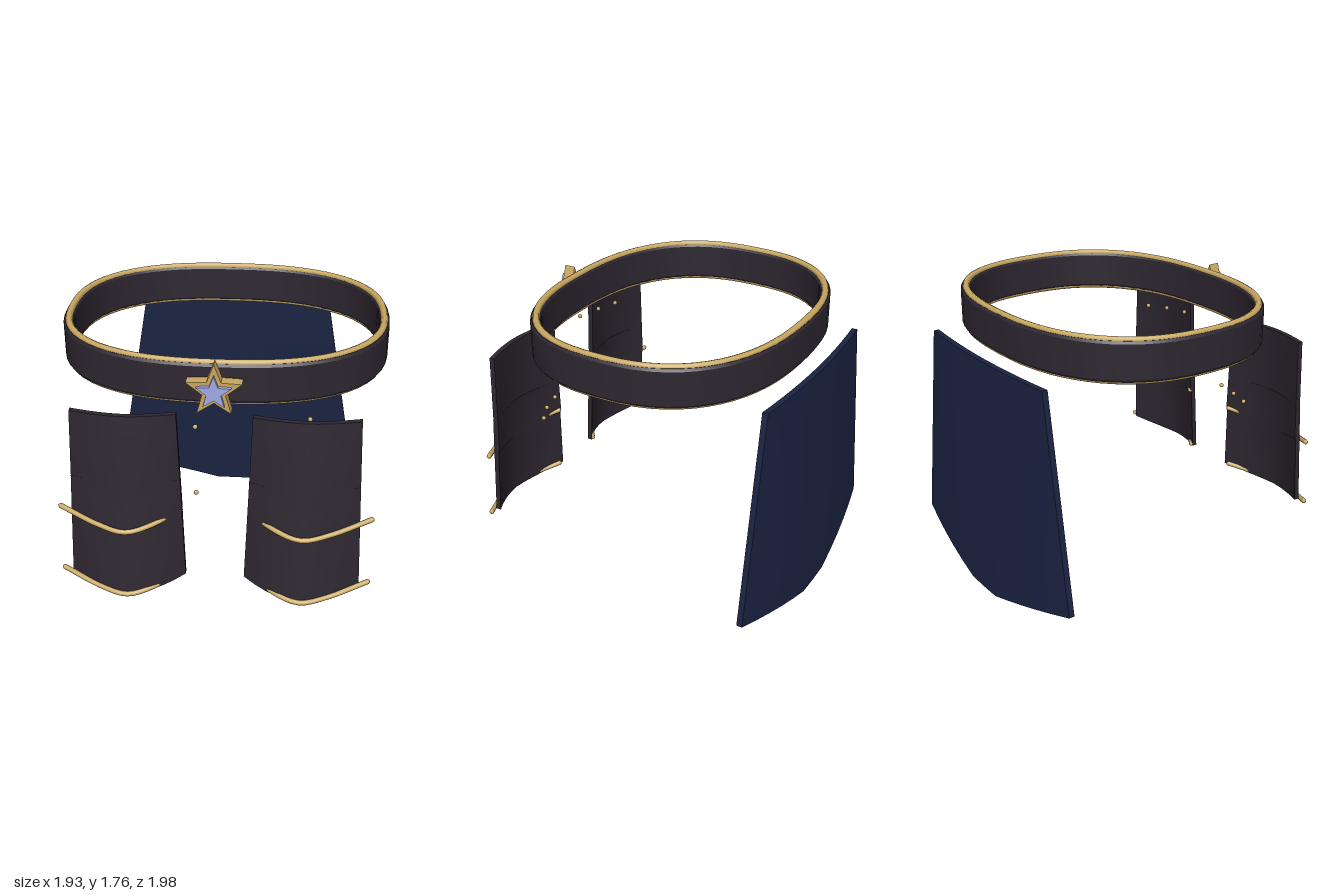
import * as THREE from 'three';
import { toCreasedNormals } from 'three/addons/utils/BufferGeometryUtils.js';

const mat = (color) => new THREE.MeshStandardMaterial({ color });
const leather = mat(0x2e2731);
const cloth = mat(0x1a2342);
const gold = mat(0xc9a860);
const gem = mat(0xa0a9e6);

function add(parent, name, geometry, material, x = 0, y = 0, z = 0) {
  const mesh = new THREE.Mesh(geometry, material);
  mesh.name = name;
  mesh.position.set(x, y, z);
  parent.add(mesh);
  return mesh;
}

// Rounded oval used for the belt and its trim
function oval(a, b, n = 56) {
  const pow = (v) => Math.sign(v) * Math.abs(v) ** 0.82;
  return Array.from({ length: n }, (_, i) => {
    const t = (i / n) * Math.PI * 2;
    return new THREE.Vector2(a * pow(Math.cos(t)), b * pow(Math.sin(t)));
  });
}

function starShape(r) {
  return new THREE.Shape(Array.from({ length: 10 }, (_, i) => {
    const t = Math.PI / 2 + (i * Math.PI) / 5;
    const d = i % 2 ? r * 0.42 : r;
    return new THREE.Vector2(d * Math.cos(t), d * Math.sin(t));
  }));
}

// Bends a box into a curved panel: rule(u, v) gives [x, y, back z];
// u runs -1..1 across, v runs 0..1 from top to bottom
function panel(nx, ny, thickness, rule) {
  const geometry = new THREE.BoxGeometry(2, 1, 1, nx, ny, 1);
  const p = geometry.attributes.position;
  for (let i = 0; i < p.count; i++) {
    const [x, y, z] = rule(p.getX(i), 0.5 - p.getY(i));
    p.setXYZ(i, x, y, z + (p.getZ(i) + 0.5) * thickness);
  }
  geometry.computeVertexNormals();
  return geometry;
}

const lerp = THREE.MathUtils.lerp;

export function createModel() {
  const model = new THREE.Group();
  model.name = 'armouredBelt';
  const beltZ = -0.057;

  // Belt band with gold rims
  const belt = new THREE.Group();
  belt.name = 'belt';
  model.add(belt);
  const ring = new THREE.Shape(oval(0.955, 0.778));
  ring.holes.push(new THREE.Path(oval(0.915, 0.738)));
  const band = new THREE.ExtrudeGeometry(ring, {
    depth: 0.2, bevelEnabled: true, bevelSize: 0.01, bevelThickness: 0.015, bevelSegments: 1,
  });
  band.rotateX(-Math.PI / 2);
  add(belt, 'beltBand', toCreasedNormals(band, 0.5), leather, 0, 1.52, beltZ);
  const rimPath = new THREE.CatmullRomCurve3(
    oval(0.933, 0.756).map((p) => new THREE.Vector3(p.x, 0, p.y)), true);
  const rim = new THREE.TubeGeometry(rimPath, 72, 0.021, 8, true);
  add(belt, 'topRim', rim, gold, 0, 1.733, beltZ);
  add(belt, 'bottomRim', rim, gold, 0, 1.508, beltZ);

  // Star buckle with raised gem
  const buckle = new THREE.Group();
  buckle.name = 'buckle';
  model.add(buckle);
  const star = (r, depth) => new THREE.ExtrudeGeometry(starShape(r), { depth, bevelEnabled: false });
  add(buckle, 'buckleStar', star(0.16, 0.07), gold, 0, 1.61, 0.737);
  add(buckle, 'buckleGem', star(0.1, 0.07), gem, 0, 1.61, 0.76);

  // Rear cloth panel, flaring and bowing out toward the hem
  add(model, 'backCloth', panel(12, 8, 0.035, (u, v) => {
    const hem = 0.01 + 0.19 * Math.max(0, (Math.abs(u) - 1 / 6) / (5 / 6));
    const y = lerp(1.48, hem, v);
    const half = lerp(0.62, 0.84, Math.min(1, (1.48 - y) / 1.28));
    return [u * half, y, -0.92 - lerp(0.035, 0.08, v) * (1 - u * u)];
  }), cloth);

  // Front hip guards: two overlapping curved plates each
  const guardPlate = (side, top, bottom, edgeZ, inset) => panel(10, 6, 0.033, (u, v) => {
    const sag = 0.06 * (1 - u * u) * v;
    const y = lerp(top, bottom, v) - sag;
    const t = (1.46 - y) / 1.06;
    const bulge = lerp(0.05, 0.14, t) - inset;
    return [side * 0.505 + u * lerp(0.295, 0.335, t), y,
      lerp(edgeZ[0], edgeZ[1], v) + bulge * (1 - Math.abs(u) ** 1.7)];
  });
  for (const side of [1, -1]) {
    const guard = new THREE.Group();
    guard.name = side > 0 ? 'leftHipGuard' : 'rightHipGuard';
    model.add(guard);
    add(guard, 'upperPlate', guardPlate(side, 1.46, 0.84, [0.763, 0.768], 0), leather);
    add(guard, 'lowerPlate', guardPlate(side, 1.05, 0.42, [0.768, 0.79], 0.005), leather);

    // Gold edging along each plate's lower edge
    for (const [name, y, z] of [['upperTrim', 0.775, 0.945], ['lowerTrim', 0.362, 0.97]]) {
      const path = new THREE.CatmullRomCurve3([
        [0.89, 0.063, -0.15], [0.66, 0.017, -0.045], [0.5, 0, 0], [0.37, 0.017, -0.045], [0.2, 0.06, -0.17],
      ].map(([px, py, pz]) => new THREE.Vector3(side * px, y + py, z + pz)));
      add(guard, name, new THREE.TubeGeometry(path, 20, 0.015, 8), gold);
      for (const t of [0, 1]) {
        const end = path.getPoint(t);
        add(guard, name + 'Cap', new THREE.SphereGeometry(0.015, 8, 6), gold, end.x, end.y, end.z);
      }
    }
  }

  // Rows of small studs behind the guards
  const studGeometry = new THREE.SphereGeometry(0.014, 10, 8);
  for (const y of [1.385, 0.965]) {
    for (const [x, z] of [[0.26, 0.755], [0.4, 0.715], [0.52, 0.65], [-0.105, 0.79], [-0.265, 0.755], [-0.405, 0.715]]) {
      add(model, 'stud', studGeometry, gold, x, y, z);
    }
  }
  return model;
}
